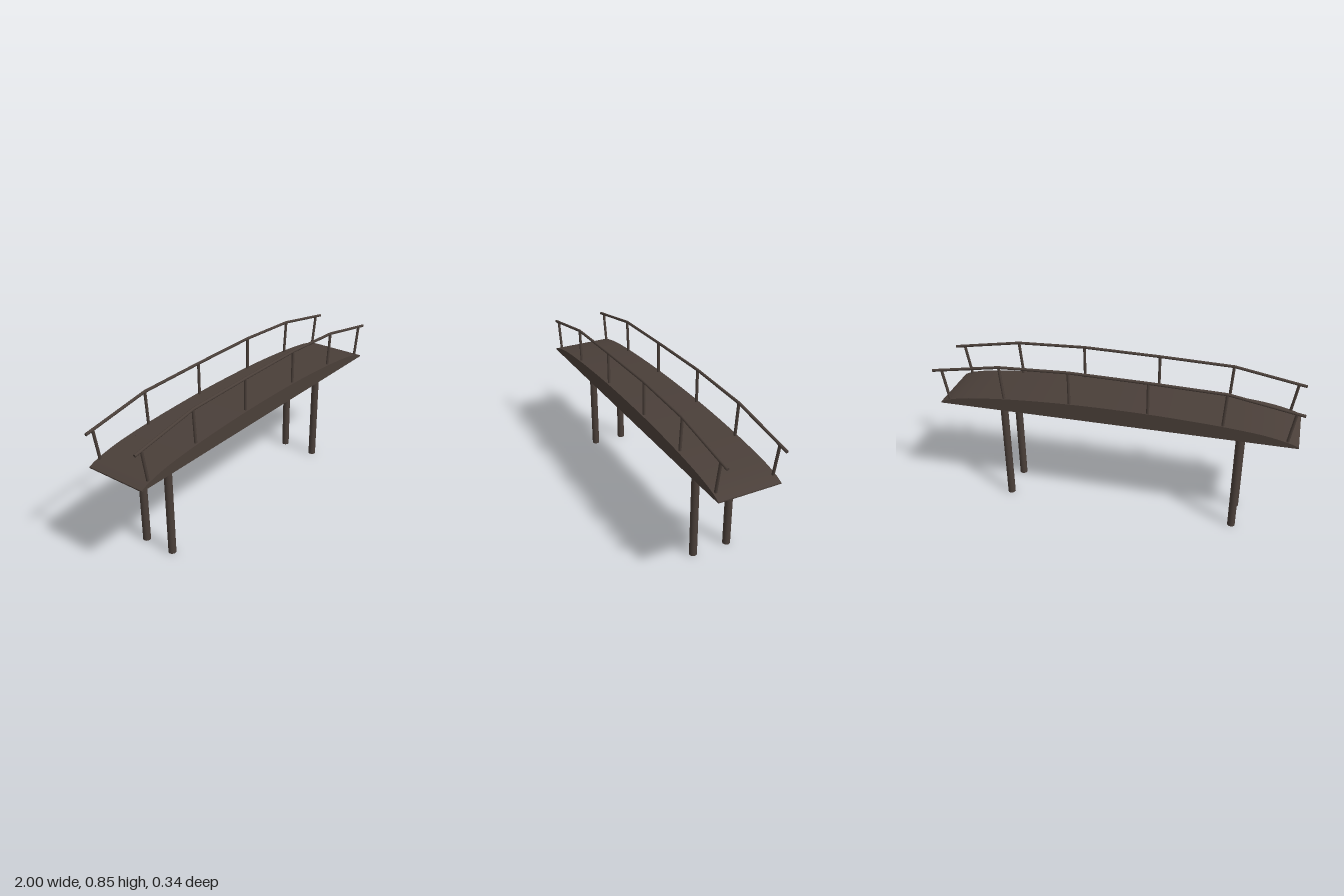
import * as THREE from 'three';
import { toCreasedNormals } from 'three/addons/utils/BufferGeometryUtils.js';

const DECK_WIDTH = 0.34;
const DECK_BOTTOM = 0.572;
const PLATE = 0.006;
const RAIL_RADIUS = 0.0078;

export function createModel() {
  const bridge = new THREE.Group();
  bridge.name = 'footbridge';

  const wood = new THREE.MeshStandardMaterial({ color: 0x4a3f39 });
  wood.name = 'dark brown wood';

  function addMesh(parent, name, geometry) {
    const mesh = new THREE.Mesh(geometry, wood);
    mesh.name = name;
    parent.add(mesh);
    return mesh;
  }

  // Round bar between two points
  function addBar(parent, name, from, to, radius, sides = 12) {
    const along = to.clone().sub(from);
    const bar = addMesh(parent, name, new THREE.CylinderGeometry(radius, radius, along.length(), sides));
    bar.position.copy(from).add(to).multiplyScalar(0.5);
    bar.quaternion.setFromUnitVectors(new THREE.Vector3(0, 1, 0), along.normalize());
  }

  // Side outline extruded across the bridge, centred on z
  function addPlate(name, outline, depth, z) {
    const geometry = new THREE.ExtrudeGeometry(new THREE.Shape(outline), { depth, bevelEnabled: false });
    geometry.translate(0, 0, z - depth / 2);
    addMesh(bridge, name, toCreasedNormals(geometry, 0.5));
  }

  // Arch line of the walking surface
  const arch = new THREE.SplineCurve([
    [0.966, 0.579], [0.91, 0.6], [0.8, 0.622], [0.6, 0.643], [0.4, 0.656], [0.2, 0.663], [0, 0.665],
    [-0.2, 0.663], [-0.4, 0.656], [-0.6, 0.645], [-0.8, 0.626], [-0.93, 0.6], [-0.988, 0.579],
  ].map(([x, y]) => new THREE.Vector2(x, y))).getPoints(48);

  // Thin arched deck, open underneath
  const underside = arch.map((p) => new THREE.Vector2(p.x, p.y - PLATE)).reverse();
  addPlate('deck', [...arch, ...underside], DECK_WIDTH - 2 * PLATE, 0);

  // Side panels fill the arch down to a straight lower edge
  const panel = [...arch, new THREE.Vector2(-0.988, DECK_BOTTOM), new THREE.Vector2(0.966, DECK_BOTTOM)];
  for (const side of [1, -1]) {
    addPlate(side > 0 ? 'frontSidePanel' : 'backSidePanel', panel, PLATE, side * (DECK_WIDTH - PLATE) / 2);
  }

  // Support piles reach up to the deck, slightly uneven on the front side
  for (const [x, z] of [[0.606, 0.069], [0.606, -0.136], [-0.69, 0.046], [-0.69, -0.136]]) {
    addBar(bridge, 'supportPile', new THREE.Vector3(x, 0, z), new THREE.Vector3(x, 0.636, z), 0.021, 20);
  }

  // Railings: bent handrail on six posts, repeated on both sides
  const railPath = [[-0.998, 0.759], [-0.61, 0.829], [-0.205, 0.84], [0.222, 0.846], [0.61, 0.829], [0.998, 0.763]];
  const posts = [
    [-0.927, 0.588, -0.955, 0.766], [-0.597, 0.635, -0.608, 0.829], [-0.205, 0.65, -0.205, 0.84],
    [0.222, 0.65, 0.222, 0.845], [0.592, 0.635, 0.608, 0.829], [0.913, 0.586, 0.944, 0.771],
  ];
  for (const [name, z] of [['frontRailing', 0.154], ['backRailing', -0.158]]) {
    const railing = new THREE.Group();
    railing.name = name;
    bridge.add(railing);
    for (let i = 0; i < railPath.length - 1; i++) {
      addBar(railing, 'handrail', new THREE.Vector3(...railPath[i], z),
        new THREE.Vector3(...railPath[i + 1], z), RAIL_RADIUS);
    }
    // Rounded joints close the bends in the handrail
    for (const [x, y] of railPath.slice(1, -1)) {
      addMesh(railing, 'handrailJoint', new THREE.SphereGeometry(RAIL_RADIUS, 12, 8)).position.set(x, y, z);
    }
    for (const [x0, y0, x1, y1] of posts) {
      addBar(railing, 'railPost', new THREE.Vector3(x0, y0, z), new THREE.Vector3(x1, y1, z), RAIL_RADIUS);
    }
  }

  return bridge;
}
